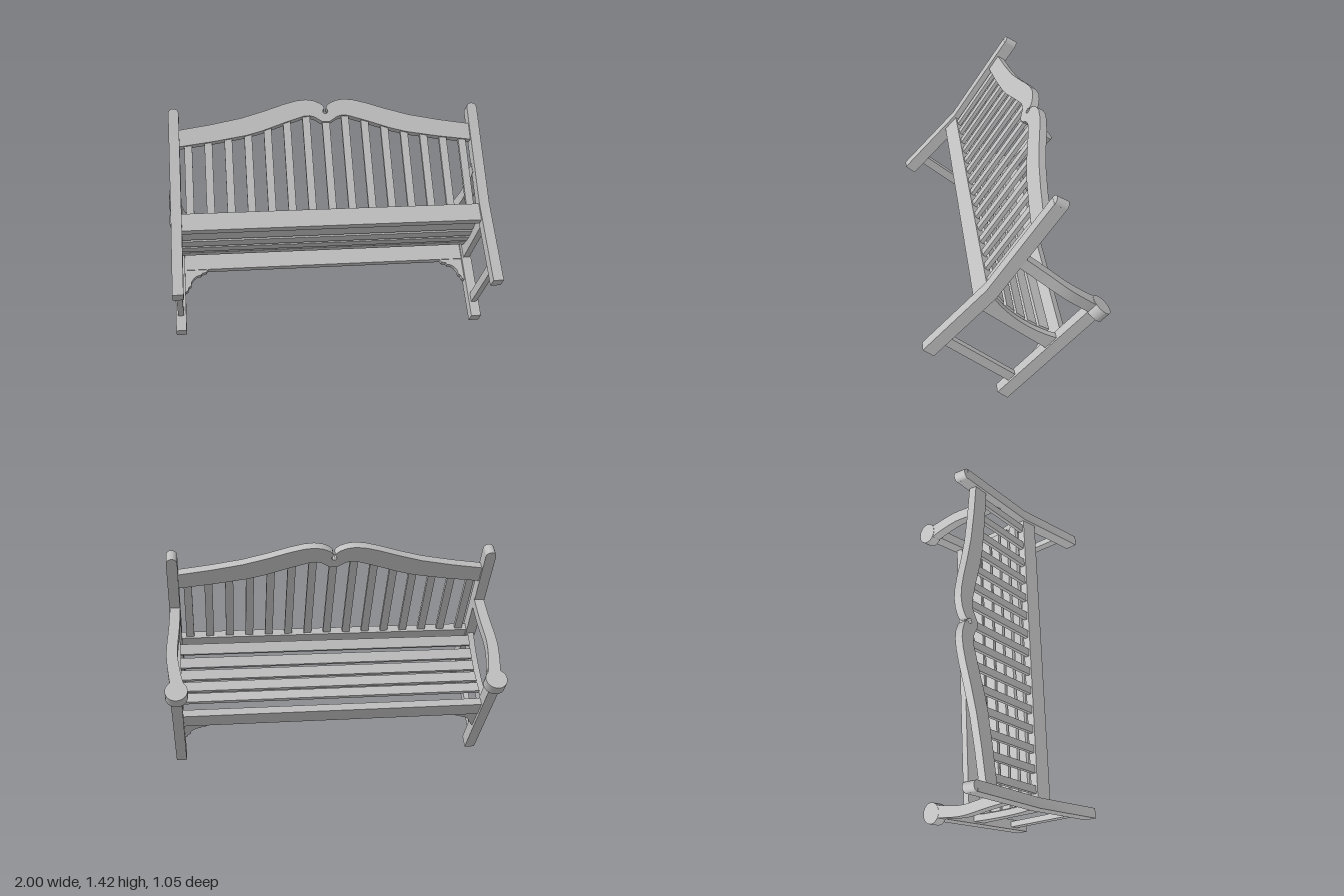
import * as THREE from 'three';
import { toCreasedNormals } from 'three/addons/utils/BufferGeometryUtils.js';

const grey = new THREE.MeshStandardMaterial({ color: 0xc0c0c0 });
grey.name = 'paintedWood';

const POST_X = 0.9385, POST_W = 0.063;

function add(parent, name, geometry, x = 0, y = 0, z = 0) {
  const mesh = new THREE.Mesh(geometry, grey);
  mesh.name = name;
  mesh.position.set(x, y, z);
  parent.add(mesh);
  return mesh;
}

// box given by its y and z limits
function bar(parent, name, x, width, y0, y1, z0, z1) {
  return add(parent, name, new THREE.BoxGeometry(width, y1 - y0, z1 - z0), x, (y0 + y1) / 2, (z0 + z1) / 2);
}

function plate(points, depth) {
  const shape = new THREE.Shape(points.map(([a, b]) => new THREE.Vector2(a, b)));
  const geo = new THREE.ExtrudeGeometry(shape, { depth, bevelEnabled: false });
  geo.translate(0, 0, -depth / 2);
  return toCreasedNormals(geo, 0.45);
}

// outline in (z, y), thickness along x
const sidePlate = (points, depth) => plate(points, depth).rotateY(-Math.PI / 2);

const spline = (points, n) =>
  new THREE.SplineCurve(points.map(([a, b]) => new THREE.Vector2(a, b))).getPoints(n).map(p => [p.x, p.y]);

// height of the dished seat at depth z
const seatY = z => 0.452 + 0.6 * (z + 0.34) ** 2;

function buildSide(bench, back, s) {
  const side = s < 0 ? 'left' : 'right'; // the bench is turned round at the end
  const x = s * POST_X;

  // legs and bent back post with a rounded top
  bar(bench, side + 'FrontLeg', x, POST_W, -0.033, 0.725, -0.118, -0.039);
  add(bench, side + 'BackPost', sidePlate([
    [-0.683, -0.024], [-0.604, -0.024], [-0.598, 0.492], [-0.694, 1.144], [-0.771, 1.132], [-0.677, 0.503],
  ], POST_W), x);
  const cap = new THREE.CylinderGeometry(POST_W / 2, POST_W / 2, 0.077, 20).rotateX(Math.PI / 2);
  add(back, side + 'PostCap', cap, x, 0.637, 0.0385);

  // lower stretcher
  bar(bench, side + 'Stretcher', x, 0.035, 0.064, 0.122, -0.61, -0.11);

  // seat rail with a dished top edge
  const top = [];
  for (let i = 0; i <= 12; i++) {
    const z = -0.11 - i * 0.0415;
    top.push([z, seatY(z) - 0.012]);
  }
  add(bench, side + 'SeatRail', sidePlate([[-0.608, 0.378], [-0.11, 0.378], ...top], 0.04), x);

  // bowed armrest ending in a round
  const outer = spline([[0.965, -0.66], [0.975, -0.5], [0.99, -0.32], [0.978, -0.17], [0.965, -0.08]], 16);
  const inner = spline([[0.885, -0.08], [0.91, -0.19], [0.925, -0.33], [0.912, -0.5], [0.905, -0.66]], 16);
  const arm = plate([...outer, ...inner].map(([a, b]) => [s * a, b]), 0.064).rotateX(Math.PI / 2);
  add(bench, side + 'Armrest', arm, 0, 0.752, 0);
  add(bench, side + 'ArmrestRound', new THREE.CylinderGeometry(0.065, 0.065, 0.07, 32), s * 0.935, 0.751, -0.062);

  // scrolled bracket under the front rail
  const scroll = [
    [0, 0.385], [0, 0.23], [0.015, 0.236], [0.022, 0.262], [0.036, 0.27], [0.04, 0.298], [0.056, 0.322],
    [0.075, 0.337], [0.1, 0.342], [0.108, 0.354], [0.135, 0.36], [0.15, 0.385],
  ];
  add(bench, side + 'Bracket', plate(scroll.map(([d, y]) => [s * (0.908 - d), y]), 0.035), 0, 0, -0.078);
}

export function createModel() {
  const model = new THREE.Group();
  model.name = 'gardenBench';
  const bench = new THREE.Group();
  bench.name = 'tiltedBench';
  model.add(bench);

  // leaning frame for the back
  const back = new THREE.Group();
  back.name = 'backrest';
  back.position.set(0, 0.503, -0.676);
  back.rotation.x = -0.1475;
  bench.add(back);

  for (const s of [-1, 1]) buildSide(bench, back, s);

  // long rails
  bar(bench, 'frontRail', 0, 1.82, 0.378, 0.495, -0.101, -0.056);
  bar(bench, 'lowerBackRail', 0, 1.82, 0.388, 0.5, -0.66, -0.612);

  // seat slats following the dished rails
  for (const z of [-0.545, -0.455, -0.37, -0.285, -0.2]) {
    const slat = add(bench, 'seatSlat', new THREE.BoxGeometry(1.84, 0.02, 0.067), 0, seatY(z) - 0.008, z);
    slat.rotation.x = -Math.atan(1.2 * (z + 0.34));
  }

  // crest rail with two lobes and a keyhole notch
  const upper = [
    [0.91, 0.532], [0.72, 0.563], [0.53, 0.602], [0.38, 0.648], [0.26, 0.69], [0.18, 0.712], [0.12, 0.719],
    [0.07, 0.711], [0.03, 0.692], [0.009, 0.672], [0.005, 0.656], [0.015, 0.645], [0.015, 0.631], [0.007, 0.622],
  ];
  const lower = [
    [0.02, 0.566], [0.045, 0.582], [0.07, 0.6], [0.1, 0.609], [0.14, 0.606], [0.26, 0.566], [0.4, 0.515],
    [0.5, 0.487], [0.7, 0.452], [0.91, 0.423],
  ];
  const half = [...lower, ...upper];
  const mirrored = half.slice().reverse().map(([x, y]) => [-x, y]);
  add(back, 'crestRail', plate([...half, ...mirrored], 0.048), 0, 0, 0.038);

  // upright back slats reaching into the crest
  const edge = x => {
    const i = Math.max(1, lower.findIndex(p => p[0] >= x));
    const [a, b] = [lower[i - 1], lower[i]];
    return a[1] + (b[1] - a[1]) * THREE.MathUtils.clamp((x - a[0]) / (b[0] - a[0]), 0, 1);
  };
  for (let i = -7; i <= 7; i++) {
    const x = i * 0.1222;
    bar(back, 'backSlat', x, 0.047, -0.03, edge(Math.abs(x)) + 0.02, 0.026, 0.05);
  }

  // turn and tip the whole bench
  bench.rotation.set(-0.7277, Math.PI, 0);
  return model;
}
